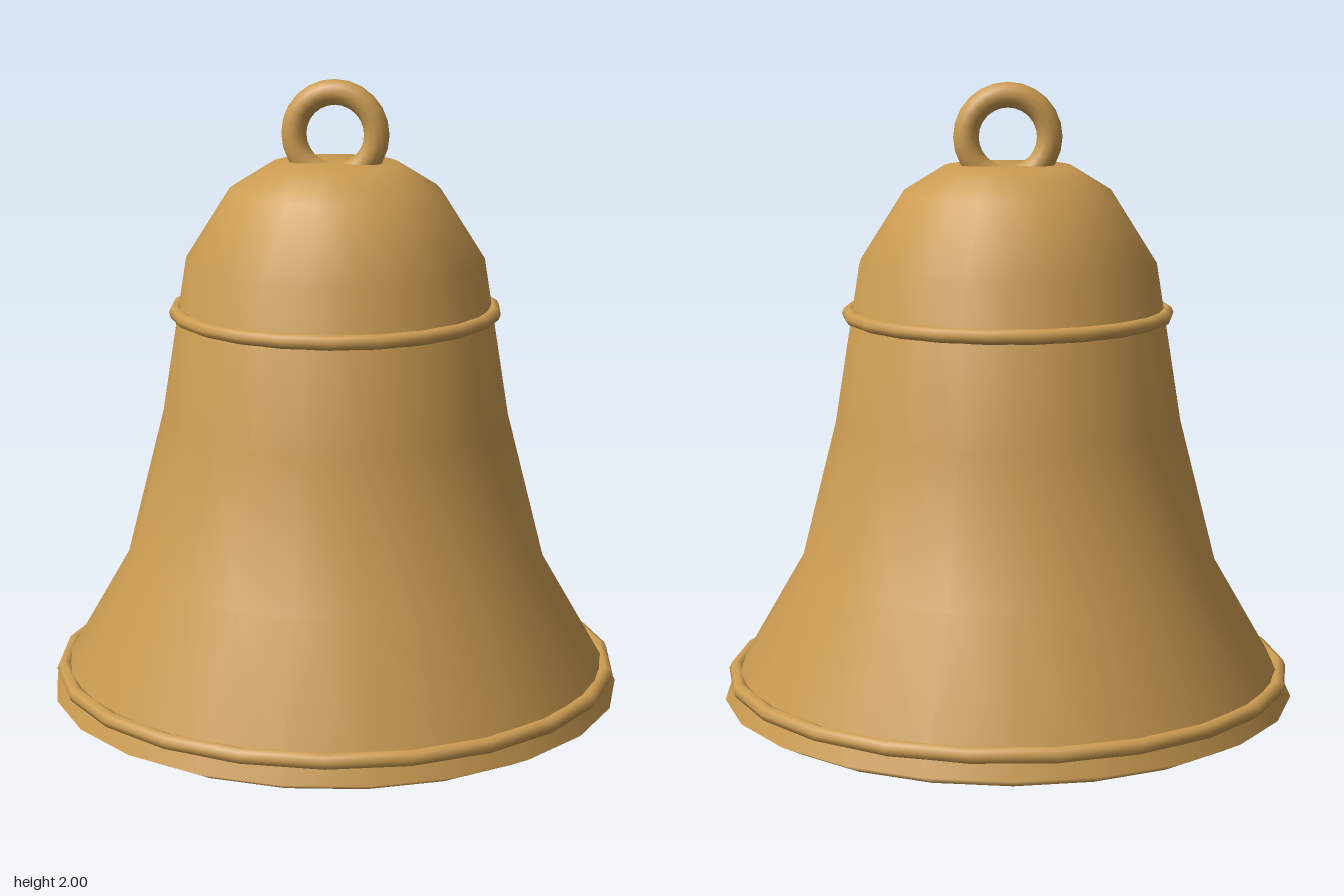
import * as THREE from 'three';

const SIDES = 22;

export function createModel() {
  const bell = new THREE.Group();
  bell.name = 'bell';

  const brass = new THREE.MeshStandardMaterial({ color: 0xcc9c52 });
  brass.name = 'brass';
  const iron = new THREE.MeshStandardMaterial({ color: 0x8a8a8a });
  iron.name = 'iron';

  const add = (name, geometry, material, y) => {
    const mesh = new THREE.Mesh(geometry, material);
    mesh.name = name;
    mesh.position.y = y;
    bell.add(mesh);
    return mesh;
  };

  // Hollow body: down the inner wall, round the lip, up the outer wall
  const profile = [
    [0, 1.66], [0.17, 1.66], [0.28, 1.6], [0.41, 1.42], [0.49, 0.94], [0.61, 0.47], [0.83, 0.04],
    [0.84, 0.005], [0.915, 0.045],
    [0.67, 0.47], [0.55, 0.94], [0.47, 1.44], [0.33, 1.66], [0.2, 1.74], [0, 1.74],
  ].map(([r, y]) => new THREE.Vector2(r, y));
  add('body', new THREE.LatheGeometry(profile, SIDES), brass, 0);

  // Raised bands round the waist and the rim
  const band = (name, radius, tube, y) =>
    add(name, new THREE.TorusGeometry(radius, tube, 8, SIDES).rotateX(Math.PI / 2), brass, y);
  band('shoulderBand', 0.502, 0.023, 1.275);
  band('rimBand', 0.88, 0.025, 0.11);

  // Hanging loop, its lower part sunk into the crown
  add('hangingLoop', new THREE.TorusGeometry(0.131, 0.04, 12, 24), brass, 1.829);

  // Clapper
  add('clapperRod', new THREE.CylinderGeometry(0.03, 0.03, 1.4, 12), iron, 0.98);
  add('clapperBall', new THREE.SphereGeometry(0.095, 20, 14), iron, 0.26);

  return bell;
}
